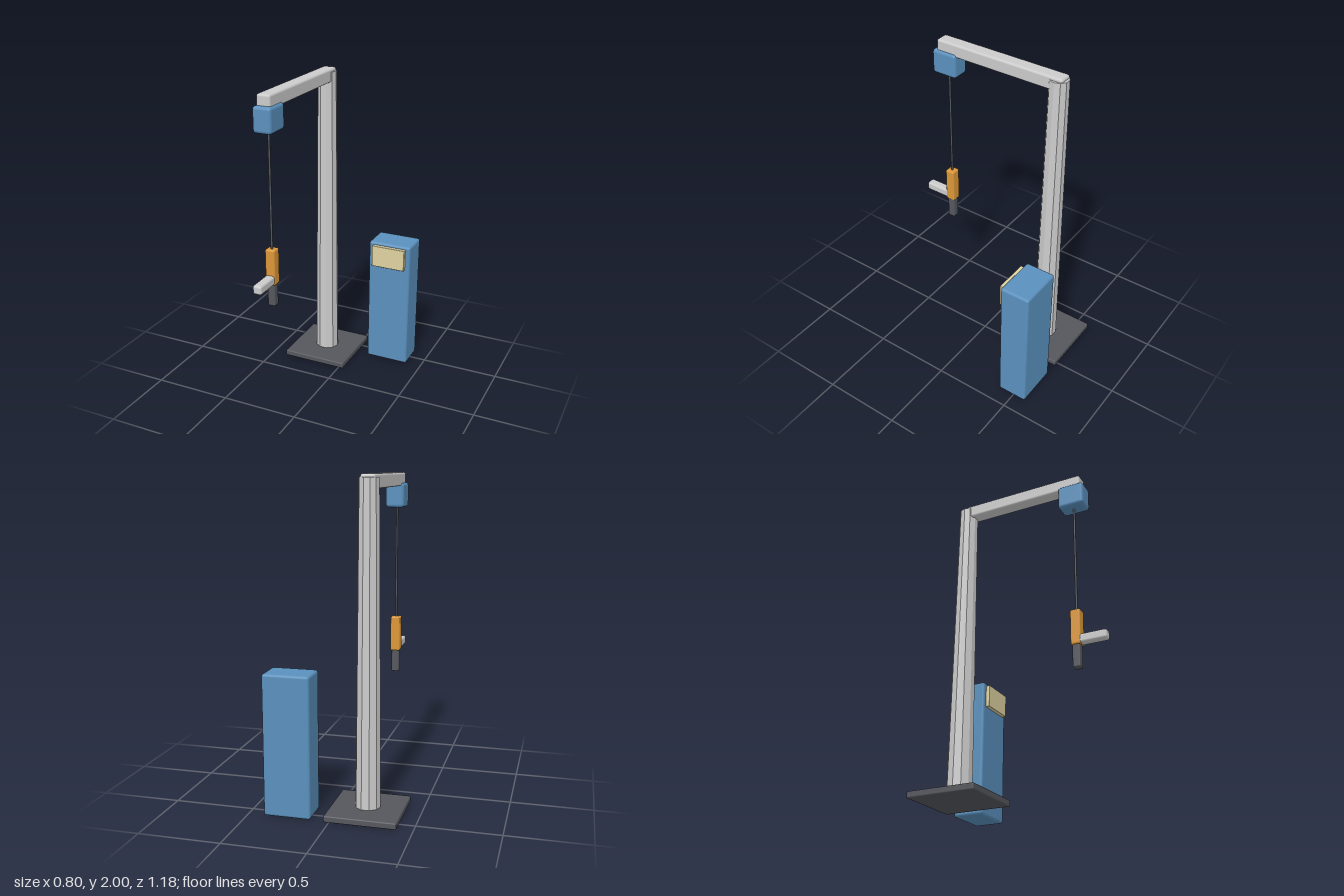
import * as THREE from 'three';
import { RoundedBoxGeometry } from 'three/addons/geometries/RoundedBoxGeometry.js';

const mat = (color, extra = {}) => new THREE.MeshStandardMaterial({ color, ...extra });
const GREY = mat(0xcccccc);
const FACETED = mat(0xcccccc, { flatShading: true });
const BLUE = mat(0x5a90bd);
const DARK = mat(0x55575d);
const ORANGE = mat(0xdb9738);
const CREAM = mat(0xdfd2a0);

// Rounded box given by its extents [min, max] on each axis
function block(name, [x0, x1], [y0, y1], [z0, z1], radius, material) {
  const mesh = new THREE.Mesh(new RoundedBoxGeometry(x1 - x0, y1 - y0, z1 - z0, 2, radius), material);
  mesh.position.set((x0 + x1) / 2, (y0 + y1) / 2, (z0 + z1) / 2);
  mesh.name = name;
  return mesh;
}

// Upright cylinder between two heights
function upright(name, x, z, y0, y1, rTop, rBottom, sides, material) {
  const mesh = new THREE.Mesh(new THREE.CylinderGeometry(rTop, rBottom, y1 - y0, sides), material);
  mesh.position.set(x, (y0 + y1) / 2, z);
  mesh.name = name;
  return mesh;
}

export function createModel() {
  const model = new THREE.Group();
  model.name = 'hoist';
  const X = -0.185; // shared centre line of the crane
  const around = (half) => [X - half, X + half];

  // Crane: base plate, tapered ten-sided column, boom
  const crane = new THREE.Group();
  crane.name = 'crane';
  const column = upright('column', X, -0.37, 0.03, 1.98, 0.06, 0.078, 10, FACETED);
  column.rotation.y = Math.PI / 10;
  crane.add(
    block('basePlate', around(0.218), [0, 0.04], [-0.588, -0.15], 0.008, DARK),
    column,
    block('boom', around(0.044), [1.915, 2], [-0.412, 0.452], 0.014, GREY),
  );

  // Hoist head, cable and hanging hand tool
  const tool = new THREE.Group();
  tool.name = 'hangingTool';
  tool.add(
    block('hoistHead', around(0.059), [1.78, 1.935], [0.308, 0.478], 0.02, BLUE),
    upright('cable', X, 0.395, 1.05, 1.8, 0.007, 0.007, 12, DARK),
    block('toolBody', around(0.032), [0.838, 1.065], [0.363, 0.427], 0.01, ORANGE),
    block('toolHandle', around(0.029), [0.843, 0.9], [0.4, 0.588], 0.014, GREY),
    block('toolTip', around(0.025), [0.695, 0.845], [0.37, 0.42], 0.01, DARK),
  );

  // Control cabinet with its front panel
  const cabinet = new THREE.Group();
  cabinet.name = 'cabinet';
  cabinet.add(
    block('cabinetBody', [0.112, 0.4], [0.003, 0.868], [-0.587, -0.392], 0.016, BLUE),
    block('cabinetPanel', [0.142, 0.368], [0.705, 0.85], [-0.41, -0.367], 0.004, CREAM),
  );

  model.add(crane, tool, cabinet);
  return model;
}
